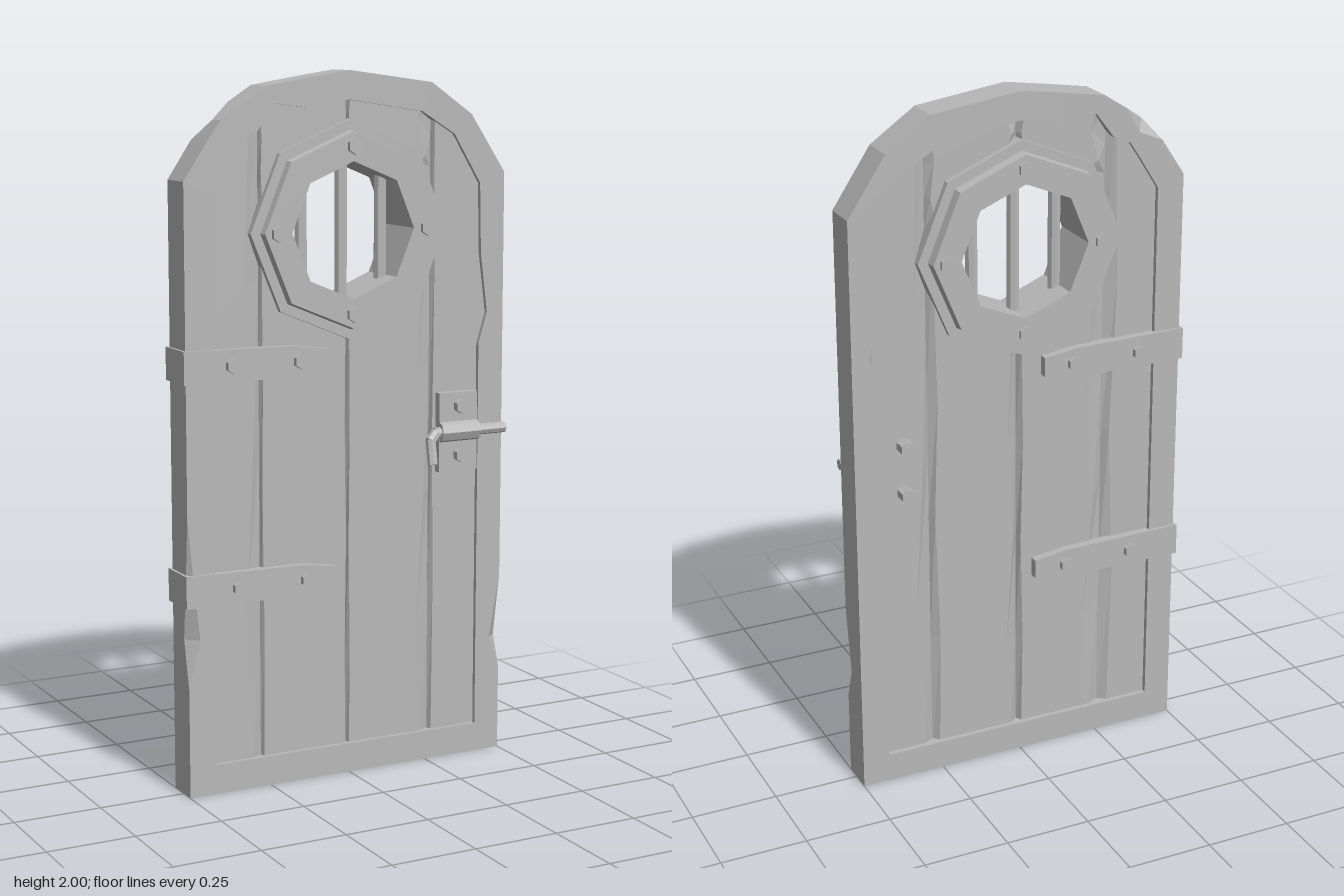
import * as THREE from 'three';

const ironWood = new THREE.MeshStandardMaterial({ color: 0xb8b8b8, flatShading: true });
const FRONT = 0.046, BACK = -0.059, HOLE_Y = 1.563;

function add(parent, name, geometry) {
  const mesh = new THREE.Mesh(geometry, ironWood);
  mesh.name = name;
  parent.add(mesh);
  return mesh;
}

// Geometry from quads [a, b, c, d] of [x, y, z] corners, skipping collapsed triangles
function fromQuads(quads) {
  const out = [], tri = new THREE.Triangle();
  for (const [a, b, c, d] of quads) {
    for (const t of [[a, b, c], [a, c, d]]) {
      tri.set(...t.map(p => new THREE.Vector3(...p)));
      if (tri.getArea() > 1e-8) out.push(...t.flat());
    }
  }
  const g = new THREE.BufferGeometry();
  g.setAttribute('position', new THREE.Float32BufferAttribute(out, 3));
  g.computeVertexNormals();
  return g;
}

// Straight round bar between two points
function bar(parent, name, a, b, r, sides = 8) {
  const p = new THREE.Vector3(...a), q = new THREE.Vector3(...b);
  const mesh = add(parent, name, new THREE.CylinderGeometry(r, r, p.distanceTo(q), sides));
  mesh.position.copy(p).add(q).multiplyScalar(0.5);
  mesh.quaternion.setFromUnitVectors(new THREE.Vector3(0, 1, 0), q.sub(p).normalize());
  return mesh;
}

// Hex bolt heads on both faces of the door
function bolts(parent, x, y, zFront, zBack, r = 0.021) {
  bar(parent, 'boltFront', [x, y, 0.02], [x, y, zFront], r, 6);
  bar(parent, 'boltBack', [x, y, zBack], [x, y, -0.03], r, 6);
}

// Arched frame: stations [outer x, outer y, inner x, inner y, front chip, back chip]
function frame() {
  const stations = [
    [-0.5, 0, -0.42, 0.085], [0.5, 0, 0.42, 0.085],
    [0.5, 0.25, 0.42, 0.25], [0.5, 0.34, 0.42, 0.34, 0.035], [0.5, 0.53, 0.42, 0.53],
    [0.5, 1.22, 0.42, 1.22], [0.5, 1.31, 0.447, 1.31], [0.5, 1.48, 0.425, 1.48],
    [0.5, 1.71, 0.42, 1.68], [0.39, 1.875, 0.335, 1.82], [0.26, 1.965, 0.23, 1.885],
    [0, 2, 0, 1.92], [-0.13, 1.98, -0.13, 1.9], [-0.25, 1.96, -0.225, 1.912],
    [-0.32, 1.915, -0.28, 1.84], [-0.39, 1.87, -0.33, 1.82, 0, 0.04],
    [-0.43, 1.815, -0.36, 1.775],
    [-0.5, 1.71, -0.42, 1.68], [-0.5, 0.8, -0.42, 0.8],
    [-0.5, 0.62, -0.42, 0.62, 0.016], [-0.5, 0.45, -0.42, 0.45, 0.035], [-0.5, 0.31, -0.42, 0.31],
  ];
  const sections = stations.map(([ox, oy, ix, iy, cf = 0, cb = 0]) => {
    const d = new THREE.Vector2(ix - ox, iy - oy).normalize();
    return [
      [ox + d.x * cf, oy + d.y * cf, FRONT], [ox, oy, FRONT - cf * 0.9],
      [ox, oy, BACK + cb * 1.3], [ox + d.x * cb, oy + d.y * cb, BACK],
      [ix, iy, BACK], [ix, iy, FRONT],
    ];
  });
  const quads = [];
  sections.forEach((s, i) => {
    const t = sections[(i + 1) % sections.length];
    for (let k = 0; k < 6; k++) {
      const m = (k + 1) % 6;
      quads.push([s[k], s[m], t[m], t[k]]);
    }
  });
  return fromQuads(quads);
}

// Top edge of the planks, tucked into the frame
function archY(x) {
  const pts = [[0, 1.95], [0.24, 1.92], [0.35, 1.85], [0.46, 1.7]], a = Math.abs(x);
  for (let i = 1; i < pts.length; i++) {
    const [x0, y0] = pts[i - 1], [x1, y1] = pts[i];
    if (a <= x1) return y0 + (y1 - y0) * (a - x0) / (x1 - x0);
  }
  return 1.7;
}

// One plank face with uneven bevels along both long edges
function plankFace(x0, x1, bevels, face, groove, spansHole) {
  const quads = [], back = face < 0;
  const holeHalf = x => Math.sqrt(Math.max(0, 0.25 ** 2 - x * x));
  const ranges = spansHole
    ? [[() => 0.05, x => HOLE_Y - holeHalf(x)], [x => HOLE_Y + holeHalf(x), archY]]
    : [[() => 0.05, archY]];
  const wobble = [0.8, 1.25, 0.6, 1.1, 0.8];
  for (const [lo, hi] of ranges) {
    const rows = wobble.map((w, i) => {
      const v = wobble[wobble.length - 1 - i] * 0.6 + w * 0.4;
      return [[x0, groove], [x0 + bevels[0] * w, face], [x1 - bevels[1] * v, face], [x1, groove]]
        .map(([x, z]) => [x, lo(x) + (hi(x) - lo(x)) * i / (wobble.length - 1), z]);
    });
    for (let i = 0; i + 1 < rows.length; i++) {
      for (let k = 0; k < 3; k++) {
        const q = [rows[i][k], rows[i][k + 1], rows[i + 1][k + 1], rows[i + 1][k]];
        quads.push(back ? q.reverse() : q);
      }
    }
  }
  return fromQuads(quads);
}

// Strap hinge: tapered plates on both faces joined around the door edge
function hinge(parent, y, tip, boltXs) {
  const group = new THREE.Group();
  group.name = 'hinge';
  const shape = new THREE.Shape([
    [-0.508, -0.045], [tip - 0.08, -0.045], [tip, -0.028], [tip, 0.028], [tip - 0.1, 0.042], [-0.508, 0.047],
  ].map(p => new THREE.Vector2(...p)));
  for (const [name, z, depth] of [['strapFront', 0.025, 0.029], ['strapBack', -0.069, 0.03]]) {
    add(group, name, new THREE.ExtrudeGeometry(shape, { depth, bevelEnabled: false })).position.set(0, y, z);
  }
  add(group, 'hingeWrap', new THREE.BoxGeometry(0.012, 0.092, 0.123)).position.set(-0.502, y + 0.001, -0.0075);
  boltXs.forEach(x => bolts(group, x, y, 0.07, -0.085));
  parent.add(group);
}

export function createModel() {
  const door = new THREE.Group();
  door.name = 'door';
  add(door, 'frame', frame());

  // Planks: x range, front bevels, back bevels, cut by the window
  const planks = [
    [-0.46, -0.27, [0.01, 0.04], [0.02, 0.03], false],
    [-0.27, 0, [0.006, 0.008], [0.05, 0.012], true],
    [0, 0.27, [0.006, 0.04], [0.03, 0.02], true],
    [0.27, 0.46, [0.008, 0.01], [0.04, 0.02], false],
  ];
  for (const [x0, x1, front, back, hole] of planks) {
    add(door, 'plankFront', plankFace(x0, x1, front, 0.034, 0.02, hole));
    add(door, 'plankBack', plankFace(x0, x1, back, -0.045, -0.026, hole));
  }

  // Octagonal window ring with a stepped flange
  const profile = [
    [0.19, -0.091], [0.272, -0.091], [0.276, -0.063], [0.305, -0.063], [0.305, 0.05],
    [0.276, 0.05], [0.272, 0.072], [0.19, 0.072], [0.19, -0.091],
  ].map(p => new THREE.Vector2(...p));
  add(door, 'windowRing', new THREE.LatheGeometry(profile, 8).rotateX(Math.PI / 2)).position.y = HOLE_Y;
  for (const x of [-0.125, 0, 0.125]) {
    const h = 0.2 - Math.abs(x) * 0.4;
    bar(door, 'windowBar', [x, HOLE_Y - h, -0.008], [x, HOLE_Y + h, -0.008], 0.018);
  }
  for (const [x, y] of [[0, 1], [1, 0], [0, -1], [-1, 0]]) {
    bolts(door, x * 0.232, HOLE_Y + y * 0.232, 0.084, -0.101, 0.023);
  }

  hinge(door, 1.209, -0.07, [-0.365, -0.16]);
  hinge(door, 0.588, -0.043, [-0.35, -0.14]);

  // Sliding latch with a bent handle
  const latch = new THREE.Group();
  latch.name = 'latch';
  add(latch, 'latchPlate', new THREE.BoxGeometry(0.125, 0.23, 0.03)).position.set(0.348, 0.97, 0.042);
  bar(latch, 'latchSleeve', [0.286, 0.972, 0.05], [0.41, 0.972, 0.05], 0.032);
  bar(latch, 'latchRod', [0.268, 0.972, 0.06], [0.5, 0.972, 0.06], 0.016);
  bar(latch, 'latchElbow', [0.275, 0.974, 0.06], [0.251, 0.95, 0.066], 0.016);
  bar(latch, 'latchHandle', [0.252, 0.956, 0.065], [0.25, 0.885, 0.082], 0.015);
  for (const y of [1.045, 0.903]) bolts(latch, 0.352, y, 0.077, -0.083);
  door.add(latch);
  return door;
}
